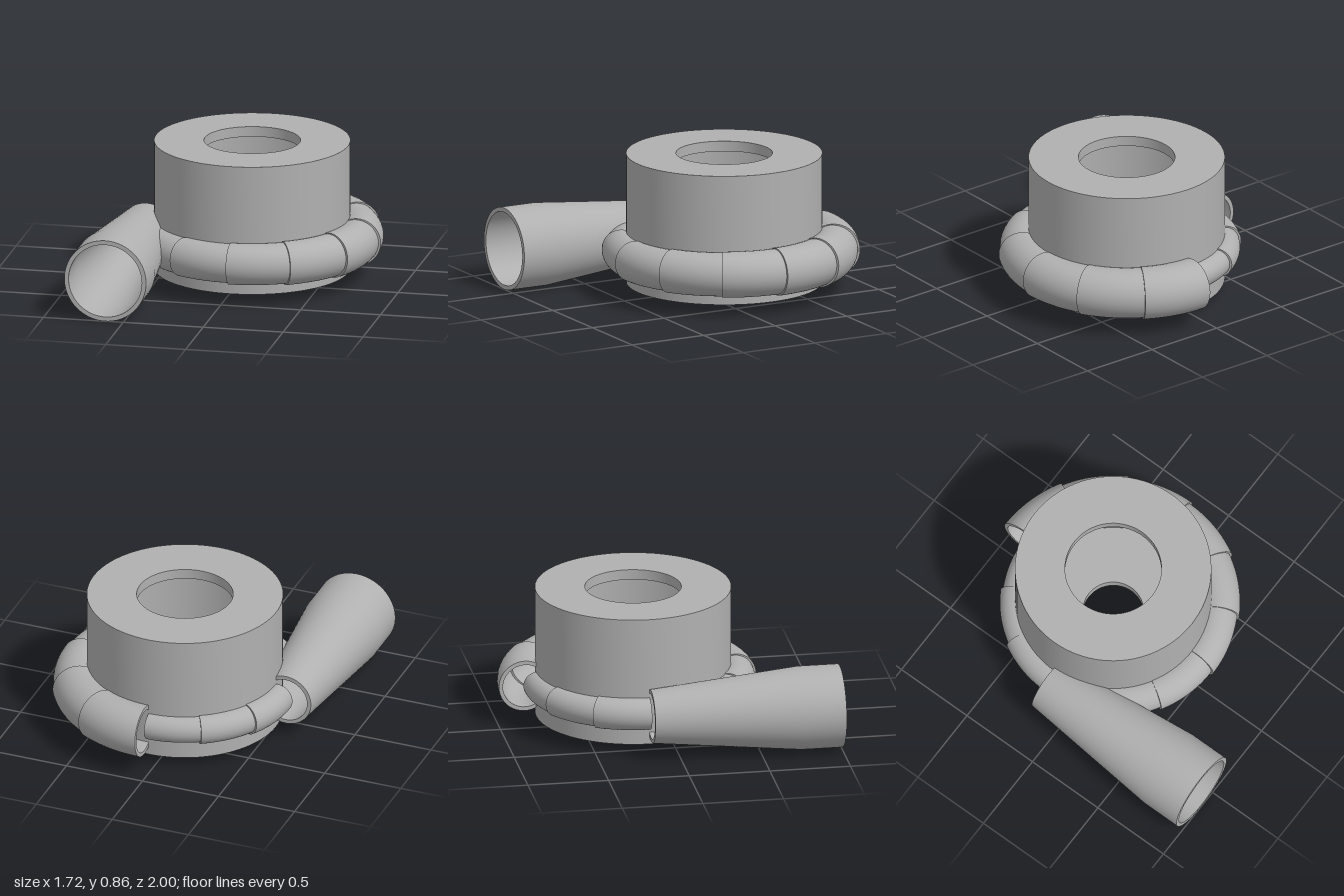
import * as THREE from 'three';
import { toCreasedNormals } from 'three/addons/utils/BufferGeometryUtils.js';

const STEP = Math.PI / 6;      // each scroll section sweeps 30 degrees
const AXIS_Y = 0.257;          // height of the scroll and outlet axes
const WALL = 0.025;
const BODY = { x: 0.05, z: -0.17 };
const OUTLET_X = -0.613;

const vec = (x, y) => new THREE.Vector2(x, y);
const profile = (pairs) => pairs.map(([x, y]) => vec(x, y));

// Outlet mid-wall radius at a given z
const outletRadius = (z) => 0.153 + 0.09 * THREE.MathUtils.clamp((z + 0.17) / 0.92, 0, 1);

// Angle at which a point on the scroll meets the outlet wall
function angleAtOutlet(r, y, start) {
  for (let a = start; a < start + 1.3; a += 0.005) {
    const x = BODY.x + r * Math.sin(a), z = BODY.z - r * Math.cos(a);
    if (Math.hypot(x - OUTLET_X, y - AXIS_Y) < outletRadius(z)) return a;
  }
  return start + 1.3;
}

// Tube cross-section arc, left open where it enters the body wall
function tubeArc(major, r) {
  const limit = Math.acos(THREE.MathUtils.clamp((0.57 - major) / r, -1, 1));
  const pts = [];
  for (let j = 0; j <= 32; j++) {
    const v = -limit + (2 * limit * j) / 32;
    pts.push(vec(major + r * Math.cos(v), AXIS_Y + r * Math.sin(v)));
  }
  return pts;
}

export function createModel() {
  const model = new THREE.Group();
  model.name = 'scrollHousing';
  const metal = new THREE.MeshStandardMaterial({ color: 0xb0b0b0, side: THREE.DoubleSide });
  metal.name = 'grey metal';

  const add = (parent, geometry, name) => {
    const mesh = new THREE.Mesh(geometry, metal);
    mesh.name = name;
    parent.add(mesh);
    return mesh;
  };

  // Hollow drum with a wide top bore and a narrow bottom bore
  const drum = new THREE.LatheGeometry(profile([
    [0.185, 0.055], [0.6, 0.055], [0.6, 0.864], [0.295, 0.864], [0.295, 0.8],
    [0.54, 0.8], [0.54, 0.115], [0.185, 0.115], [0.185, 0.055],
  ]), 96);
  add(model, toCreasedNormals(drum, 0.6), 'drumBody').position.set(BODY.x, 0, BODY.z);

  // Scroll: stepped torus sections shrinking around the drum
  const scroll = new THREE.Group();
  scroll.name = 'scroll';
  scroll.position.set(BODY.x, 0, BODY.z);
  model.add(scroll);
  for (let i = 0; i < 12; i++) {
    if (i === 8) continue; // this stretch is replaced by the outlet
    const major = 0.67 - 0.007 * i, radius = 0.161 - 0.0068 * i;
    const start = i * STEP;
    const section = new THREE.Group();
    section.name = 'scrollSection' + (i + 1);
    scroll.add(section);

    const arcs = [tubeArc(major, radius), tubeArc(major, radius - WALL)];
    arcs.forEach((arc, k) => {
      const geo = new THREE.LatheGeometry(arc, 16, Math.PI - start - STEP, STEP);
      if (i === 7) {
        // Stretch or trim this section so it ends on the outlet wall
        const pos = geo.attributes.position, n = arc.length;
        for (let v = 0; v < pos.count; v++) {
          const p = arc[v % n], t = 1 - Math.floor(v / n) / 16;
          const a = start + t * (angleAtOutlet(p.x, p.y, start) - start);
          pos.setXYZ(v, p.x * Math.sin(a), p.y, -p.x * Math.cos(a));
        }
        geo.computeVertexNormals();
      }
      add(section, geo, k ? 'innerWall' : 'outerWall');
    });

    // Flat end faces of the tube wall
    const rim = new THREE.Shape([...arcs[0], ...arcs[1].slice().reverse()]);
    for (const a of i === 7 ? [start] : [start, start + STEP]) {
      const cap = new THREE.ShapeGeometry(rim);
      cap.rotateY(Math.PI / 2 - a);
      add(section, cap, 'endRim');
    }
  }

  // Tapered outlet pipe with a straight mouth
  const outlet = new THREE.LatheGeometry(profile([
    [0.14, -0.17], [0.165, -0.17], [0.256, 0.75], [0.256, 1.0],
    [0.229, 1.0], [0.229, 0.75], [0.14, -0.17],
  ]), 72);
  outlet.rotateX(Math.PI / 2);
  add(model, toCreasedNormals(outlet, 0.6), 'outletPipe').position.set(OUTLET_X, AXIS_Y, 0);

  return model;
}
